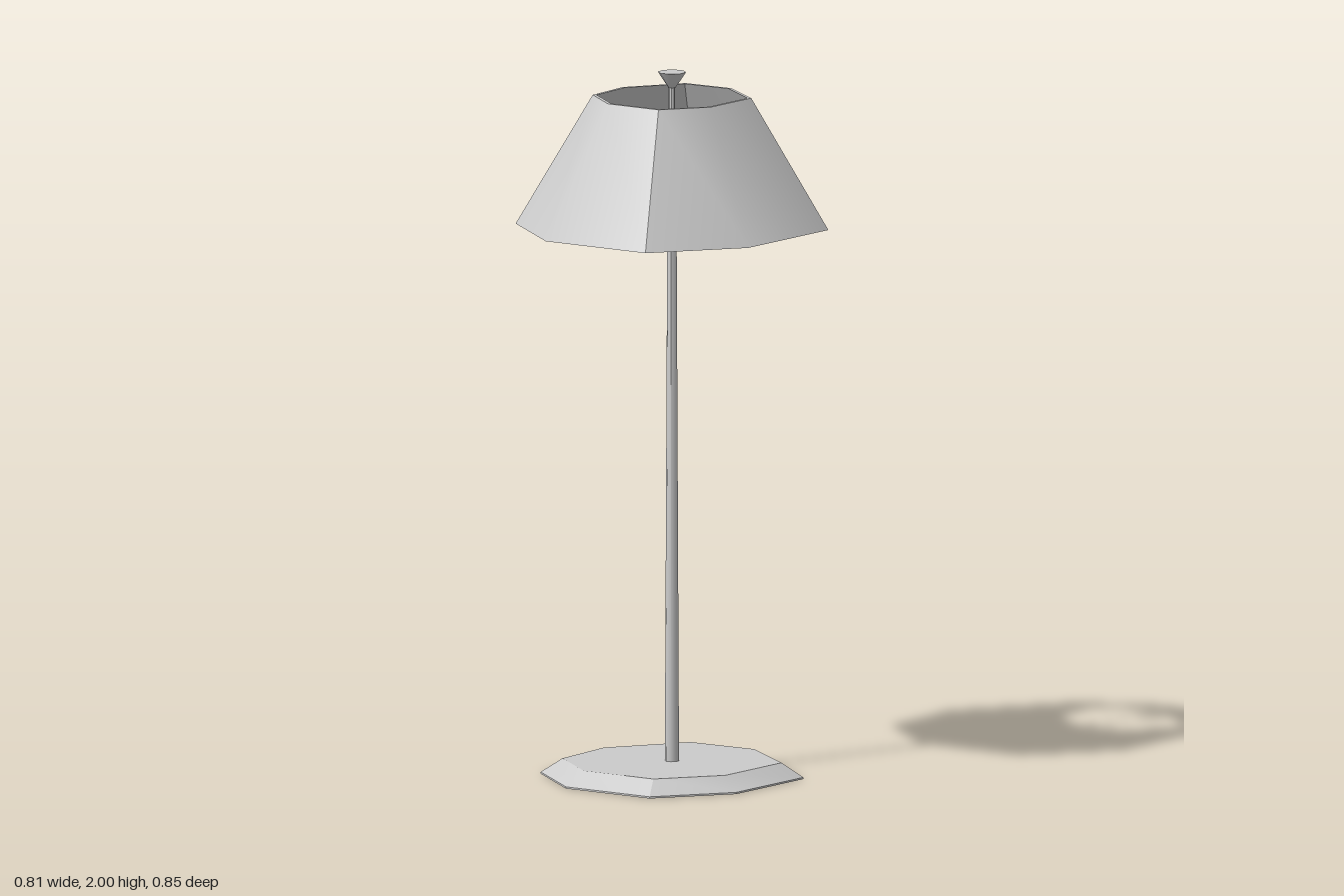
import * as THREE from 'three';
import { toCreasedNormals } from 'three/addons/utils/BufferGeometryUtils.js';

const material = new THREE.MeshStandardMaterial({ color: 0xcccccc });

// Slightly irregular octagon shared by the shade and the base
const OCTAGON = [
  [-0.02, -0.425], [0.303, -0.32], [0.405, 0.035], [0.303, 0.318],
  [-0.02, 0.425], [-0.305, 0.318], [-0.408, 0.035], [-0.305, -0.32],
];

// Skins the octagon along a profile of [scale, y] pairs
function loft(profile, crease = 0.75) {
  const n = OCTAGON.length;
  const positions = [], index = [];
  for (const [s, y] of profile) {
    for (const [x, z] of OCTAGON) positions.push(x * s, y, z * s);
  }
  for (let r = 0; r < profile.length - 1; r++) {
    for (let i = 0; i < n; i++) {
      const j = (i + 1) % n;
      const a = r * n + i, b = r * n + j, c = b + n, d = a + n;
      if (profile[r + 1][0] > 0) index.push(a, d, c);
      if (profile[r][0] > 0) index.push(a, c, b);
    }
  }
  const geometry = new THREE.BufferGeometry();
  geometry.setAttribute('position', new THREE.Float32BufferAttribute(positions, 3));
  geometry.setIndex(index);
  return toCreasedNormals(geometry, crease);
}

// Upright eight-sided rod between two heights
function rod(rTop, rBottom, y0, y1) {
  const geometry = new THREE.CylinderGeometry(rTop, rBottom, y1 - y0, 8);
  geometry.translate(0, (y0 + y1) / 2, 0);
  return toCreasedNormals(geometry, 0.9);
}

export function createModel() {
  const lamp = new THREE.Group();
  lamp.name = 'lamp';
  const add = (name, geometry) => {
    const mesh = new THREE.Mesh(geometry, material);
    mesh.name = name;
    lamp.add(mesh);
  };

  // Bevelled foot
  add('base', loft([[0, 0], [0.84, 0], [0.84, 0.005], [0.7, 0.045], [0, 0.045]], 0.4));

  // Tapered pole, its collar and the thin rod through the shade
  add('pole', rod(0.013, 0.02, 0.04, 1.62));
  add('collar', rod(0.018, 0.018, 1.62, 1.645));
  add('neck', rod(0.009, 0.009, 1.64, 1.965));

  // Open shade with a thin wall
  add('shade', loft([
    [1, 1.56], [0.507, 1.93], [0.482, 1.93], [0.975, 1.56], [1, 1.56],
  ]));

  // Flared knob on top
  add('finial', rod(0.04, 0.01, 1.955, 2));

  return lamp;
}
